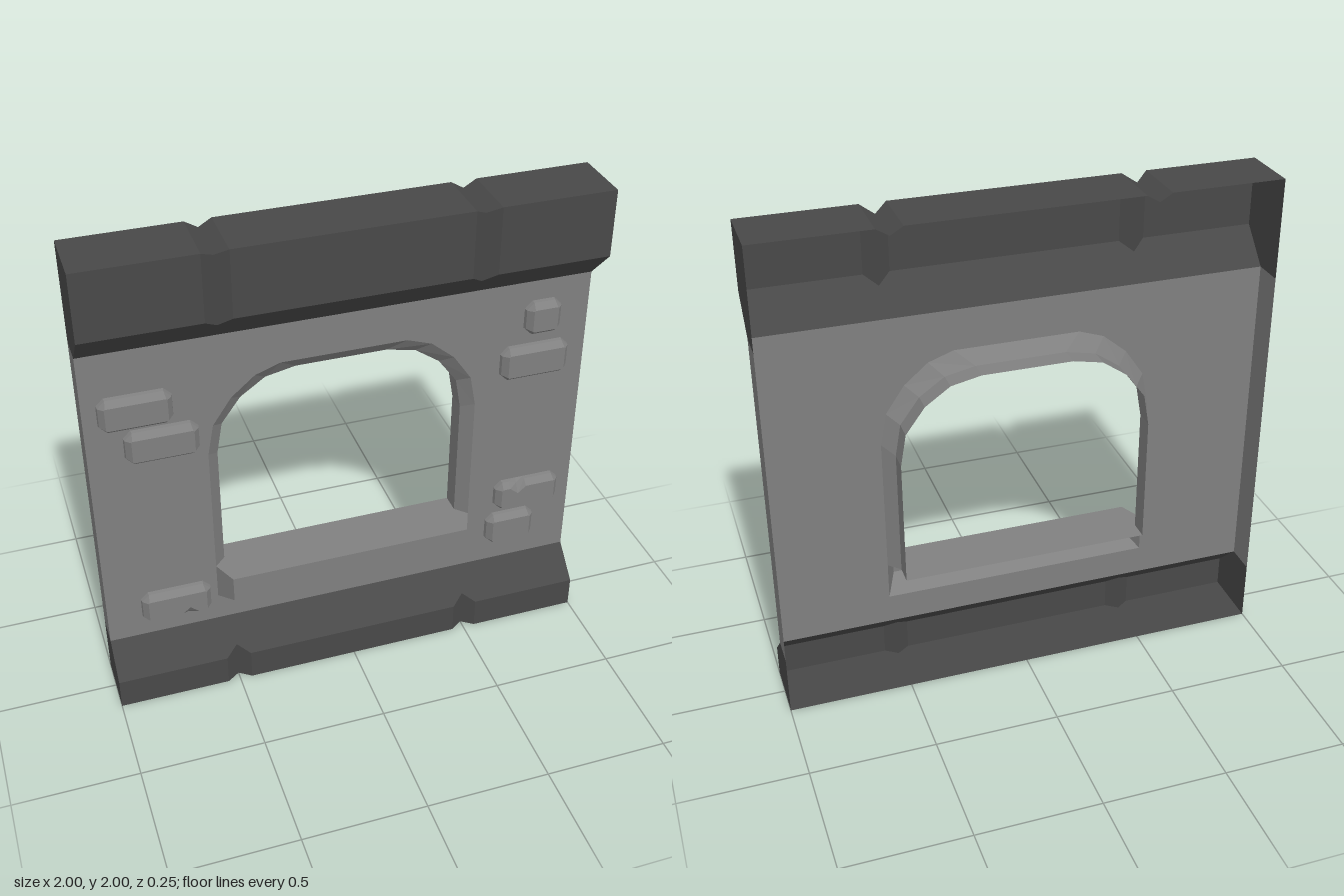
import * as THREE from 'three';
import { mergeGeometries } from 'three/addons/utils/BufferGeometryUtils.js';

const BACK = -0.125, FRONT = 0.125, BEVEL = -0.045;

const stone = new THREE.MeshStandardMaterial({ color: 0x808080, flatShading: true, side: THREE.DoubleSide });
const darkStone = new THREE.MeshStandardMaterial({ color: 0x484848, flatShading: true, side: THREE.DoubleSide });

// Joins successive rings of [x, y, z] points with quads
function loft(rings, closed = false) {
  const pos = [];
  for (let r = 0; r + 1 < rings.length; r++) {
    const a = rings[r], b = rings[r + 1], n = a.length;
    for (let i = 0; i < (closed ? n : n - 1); i++) {
      const j = (i + 1) % n;
      pos.push(...a[i], ...a[j], ...b[j], ...a[i], ...b[j], ...b[i]);
    }
  }
  const g = new THREE.BufferGeometry();
  g.setAttribute('position', new THREE.Float32BufferAttribute(pos, 3));
  g.computeVertexNormals();
  return g;
}

// Flat polygon in the xy plane, with an optional hole
function plate(points, hole) {
  const toV2 = ([x, y]) => new THREE.Vector2(x, y);
  const shape = new THREE.Shape(points.map(toV2));
  if (hole) shape.holes.push(new THREE.Path(hole.map(toV2)));
  const g = new THREE.ShapeGeometry(shape).toNonIndexed();
  g.deleteAttribute('uv');
  return g;
}

// End cap at x = side, from [z, y] points
function endCap(points, side) {
  return plate(points.map(([z, y]) => [-side * z, y]))
    .rotateY(side * Math.PI / 2).translate(side, 0, 0);
}

function part(name, geometries, material) {
  const mesh = new THREE.Mesh(mergeGeometries(geometries), material);
  mesh.name = name;
  return mesh;
}

// Hollow projecting course with two V grooves
function band(name, outerY, edgeY, wallY, endNotch, flip) {
  const section = (groove) => {
    const z = FRONT - 0.035 * groove;
    const y = edgeY + (wallY - edgeY) * (FRONT - z) / FRONT;
    const end = outerY - endNotch * groove;
    const pts = [[BACK, end], [z, end], [z, y], [0, wallY]];
    return flip ? pts.reverse() : pts;
  };
  const stations = [[-1, 0], [-0.55, 0], [-0.5, 1], [-0.45, 0], [0.45, 0], [0.5, 1], [0.55, 0], [1, 0]];
  const rings = stations.map(([x, groove]) => section(groove).map(([z, y]) => [x, y, z]));
  const cap = [...section(0), [BACK, wallY]];
  if (flip) cap.splice(0, 5, [BACK, wallY], ...section(0));
  return part(name, [loft(rings), endCap(cap, 1), endCap(cap, -1)], darkStone);
}

// Raised brick with clipped corners; chip = [x, side] dents the top (1) or bottom (-1)
function brick(x0, x1, y0, y1, chip) {
  const ring = (inset, c, z, dent) => {
    const l = x0 + inset, r = x1 - inset, b = y0 + inset, t = y1 - inset;
    const nick = (side) => {
      if (!chip || chip[1] !== side) return [];
      const y = side > 0 ? t : b;
      return [[chip[0] + side * 0.035, y, z], [chip[0], y - side * dent, z], [chip[0] - side * 0.035, y, z]];
    };
    return [[l + c, b, z], ...nick(-1), [r - c, b, z], [r, b + c, z], [r, t - c, z],
      [r - c, t, z], ...nick(1), [l + c, t, z], [l, t - c, z], [l, b + c, z]];
  };
  const front = ring(0.024, 0.004, 0.04, 0.03);
  return part('brick', [
    loft([ring(0, 0.03, 0, 0), ring(0.003, 0.029, 0.015, 0.012), front], true),
    plate(front).translate(0, 0, 0.04),
  ], stone);
}

export function createModel() {
  const model = new THREE.Group();
  model.name = 'windowWall';

  // Arch outlines, right half from the sill upward, mirrored to the left
  const mirror = (half) => [...half, ...half.map(([x, y]) => [-x, y]).reverse()];
  const outer = mirror([[0.545, 0.525], [0.545, 1.08], [0.52, 1.21], [0.445, 1.32], [0.35, 1.4], [0.25, 1.435]]);
  const inner = mirror([[0.5, 0.525], [0.5, 1.05], [0.477, 1.18], [0.4, 1.285], [0.3, 1.355], [0.18, 1.38]]);

  // Wall sheet with its opening and side returns
  const sideStrip = [[BACK, 0.25], [0, 0.25], [0, 1.6], [BACK, 1.6]];
  model.add(part('wall', [
    plate([[-1, 0.25], [1, 0.25], [1, 1.6], [-1, 1.6]], [...outer, [-0.545, 0.37], [0.545, 0.37]]),
    endCap(sideStrip, 1), endCap(sideStrip, -1),
  ], stone));

  // Bevelled window reveal
  const at = (pts, z) => pts.map(([x, y]) => [x, y, z]);
  model.add(part('windowReveal', [loft([at(outer, 0), at(inner, BEVEL), at(inner, BACK)])], stone));

  // Hollow sill, open underneath at the back
  const sillBase = [[-0.545, 0.525], [-0.545, 0.37], [0.545, 0.37], [0.545, 0.525]];
  const sillFront = [[-0.5, 0.525], [-0.5, 0.415], [0.5, 0.415], [0.5, 0.525]];
  const sillTop = [[-0.5, -0.1], [0.5, -0.1], [0.545, 0], [0.5, -BEVEL], [0.5, -BACK],
    [-0.5, -BACK], [-0.5, -BEVEL], [-0.545, 0]].map(([x, y]) => [x, y]);
  model.add(part('windowSill', [
    loft([at(sillBase, 0), at(sillFront, 0.1)]),
    plate(sillFront).translate(0, 0, 0.1),
    plate(sillTop).rotateX(-Math.PI / 2).translate(0, 0.525, 0),
  ], stone));

  // Top and bottom courses
  model.add(band('topCourse', 2, 1.73, 1.6, 0.03, false));
  model.add(band('bottomCourse', 0, 0.13, 0.25, 0, true));

  // Scattered bricks
  const bricks = new THREE.Group();
  bricks.name = 'bricks';
  [
    [-0.945, -0.665, 1.27, 1.415],
    [-0.86, -0.575, 1.11, 1.255],
    [-0.86, -0.575, 0.32, 0.465, [-0.67, -1]],
    [0.73, 0.88, 1.37, 1.515],
    [0.64, 0.925, 1.175, 1.325],
    [0.655, 0.94, 0.525, 0.665, [0.75, 1]],
    [0.625, 0.84, 0.35, 0.5],
  ].forEach((b) => bricks.add(brick(...b)));
  model.add(bricks);
  return model;
}
